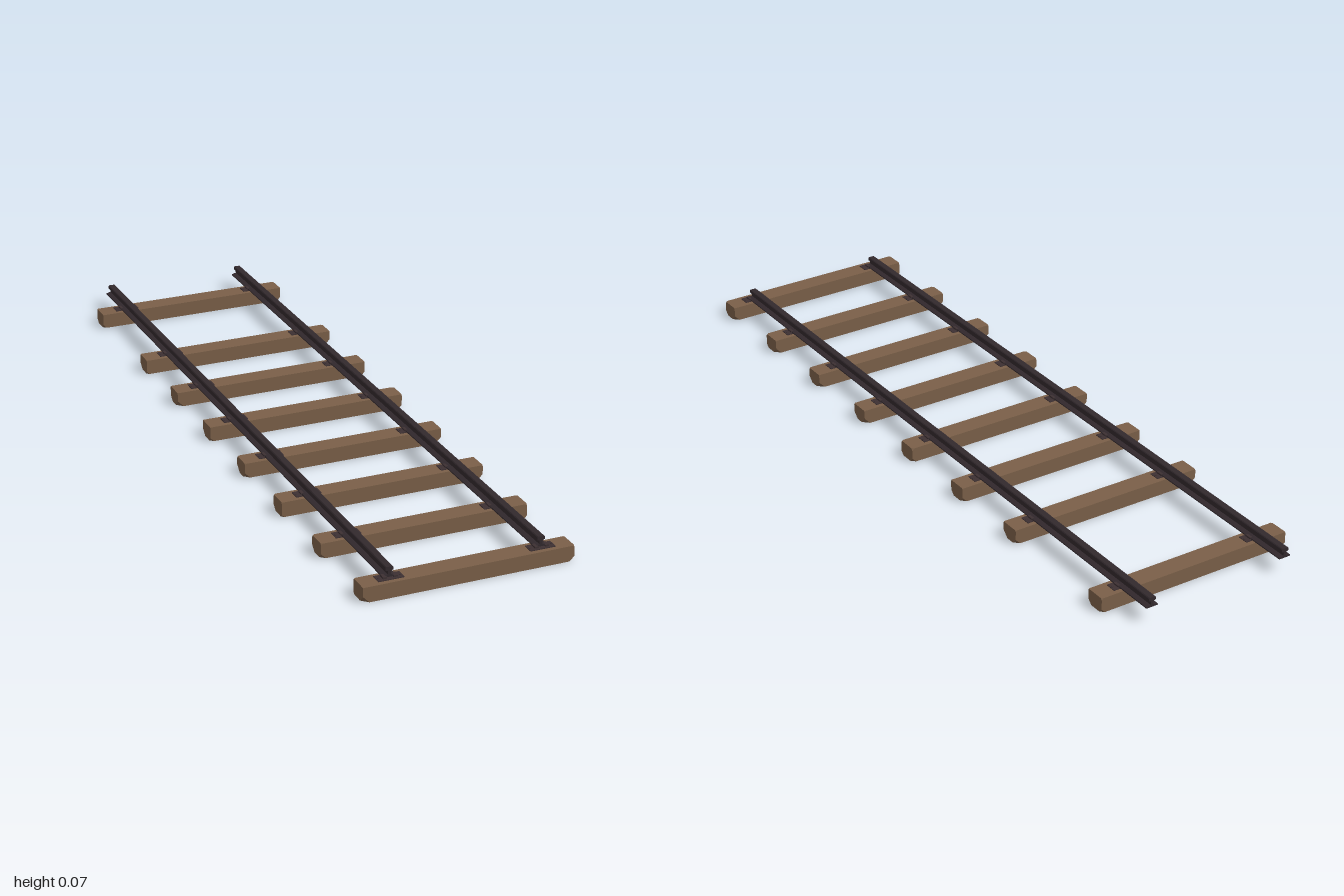
import * as THREE from 'three';
import { ConvexGeometry } from 'three/addons/geometries/ConvexGeometry.js';

const mat = (name, color) => {
  const m = new THREE.MeshStandardMaterial({ color });
  m.name = name;
  return m;
};

export function createModel() {
  const wood = mat('weathered wood', 0x7a5f48);
  const steel = mat('dark rail steel', 0x32292d);
  const iron = mat('plate iron', 0x3c3032);
  const group = new THREE.Group();
  group.name = 'railwayTrack';

  const add = (parent, name, geometry, material, x = 0, y = 0, z = 0) => {
    const mesh = new THREE.Mesh(geometry, material);
    mesh.name = name;
    mesh.position.set(x, y, z);
    parent.add(mesh);
    return mesh;
  };

  // Small seeded generator for the chipped corners
  let seed = 7;
  const rand = () => (seed = (seed * 16807) % 2147483647) / 2147483647;

  // Timber beam whose eight corners are each cut off by a different amount
  function sleeperGeometry() {
    const w = 0.28, h = 0.0205, d = 0.0275, points = [];
    for (const sx of [-1, 1]) for (const sy of [-1, 1]) for (const sz of [-1, 1]) {
      const cut = sy < 0 ? 0.006 + 0.012 * rand() : 0.001 + 0.006 * rand();
      points.push(
        new THREE.Vector3(sx * (w - cut), sy * h, sz * d),
        new THREE.Vector3(sx * w, sy * (h - cut), sz * d),
        new THREE.Vector3(sx * w, sy * h, sz * (d - cut)));
    }
    return new ConvexGeometry(points);
  }

  // Rail section: foot, web and head, drawn for one side and mirrored
  const half = [[0.017, 0.043], [0.017, 0.046], [0.004, 0.049], [0.004, 0.059],
    [0.01, 0.061], [0.01, 0.068], [0.008, 0.07]];
  const outline = [...half, ...half.map(([x, y]) => [-x, y]).reverse()];
  const section = new THREE.Shape(outline.map(([x, y]) => new THREE.Vector2(x, y)));
  const railGeometry = new THREE.ExtrudeGeometry(section, { depth: 1.975, bevelEnabled: false });
  for (const side of [-1, 1]) {
    add(group, side > 0 ? 'leftRail' : 'rightRail', railGeometry, steel, side * 0.201, 0, -1);
  }

  // Sleepers with fastenings; one sleeper is wider spaced at the back
  const plate = new THREE.BoxGeometry(0.068, 0.003, 0.03);
  const clip = new THREE.BoxGeometry(0.01, 0.005, 0.018);
  const spike = new THREE.CylinderGeometry(0.003, 0.003, 0.003, 6);
  for (const z of [0.972, 0.725, 0.479, 0.233, -0.013, -0.259, -0.505, -0.877]) {
    const unit = new THREE.Group();
    unit.name = 'sleeperUnit';
    unit.position.z = z;
    group.add(unit);
    add(unit, 'sleeper', sleeperGeometry(), wood, 0, 0.0205, 0);
    for (const side of [-1, 1]) {
      const x = side * 0.201;
      add(unit, 'tiePlate', plate, iron, x, 0.0415, 0);
      for (const s of [-1, 1]) {
        add(unit, 'railClip', clip, iron, x + s * 0.014, 0.0448, 0);
        add(unit, 'spike', spike, iron, x + s * 0.029, 0.0425, 0);
      }
    }
  }
  return group;
}
